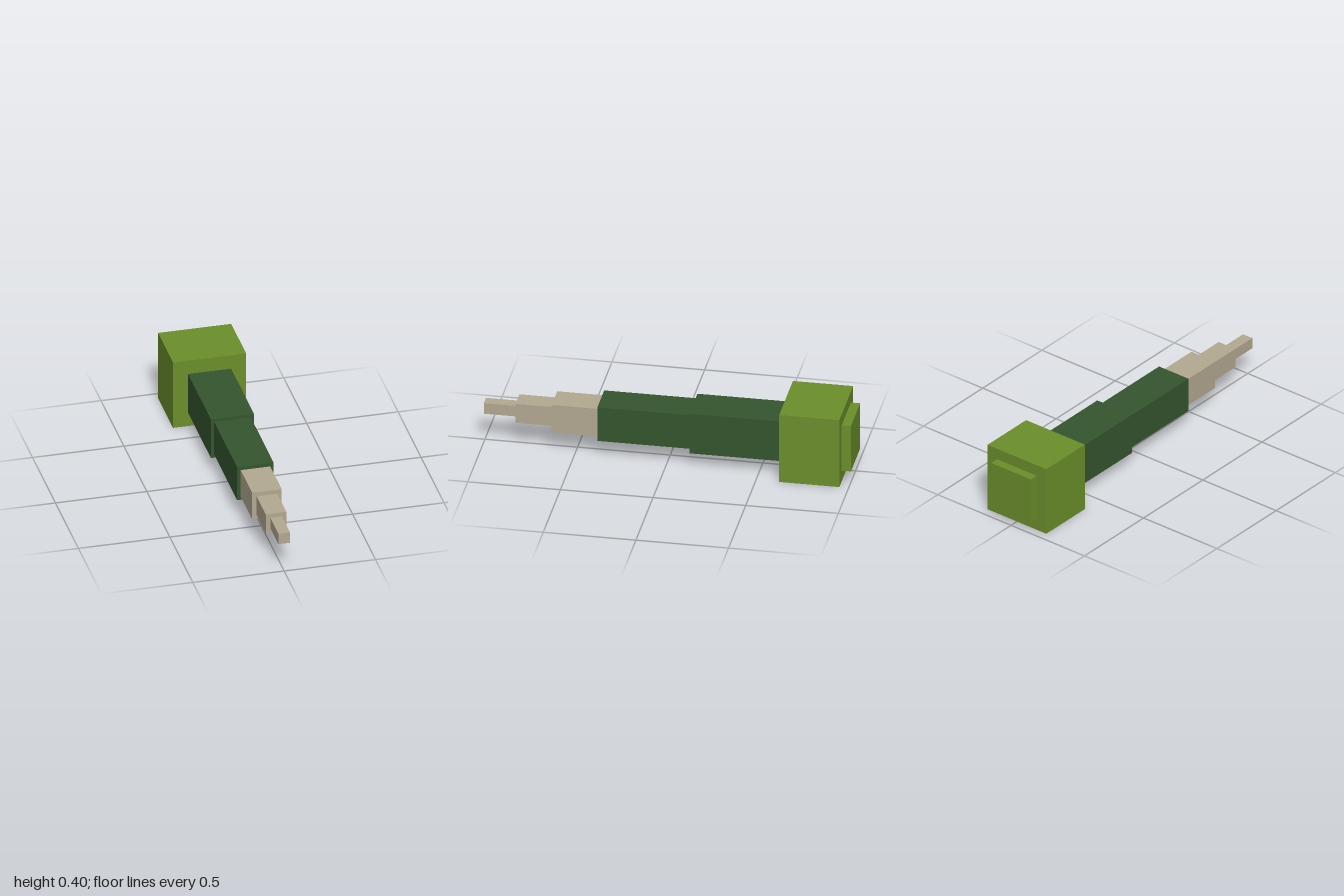
import * as THREE from 'three';

export function createModel() {
  const group = new THREE.Group();
  const material = (name, color) => {
    const m = new THREE.MeshStandardMaterial({ color });
    m.name = name;
    return m;
  };
  const olive = material('olive green', 0x6b8f2b);
  const dark = material('dark green', 0x34552d);
  const tan = material('tan', 0xb3a991);

  // Square sections along z, from back to front: name, width, back z, front z, material
  const sections = [
    ['backPlate', 0.27, -1, -0.95, olive],
    ['rearBlock', 0.4, -0.95, -0.625, olive],
    ['rearSleeve', 0.236, -0.625, -0.125, dark],
    ['frontSleeve', 0.2, -0.125, 0.375, dark],
    ['tipBase', 0.162, 0.375, 0.625, tan],
    ['tipMiddle', 0.113, 0.625, 0.825, tan],
    ['tipEnd', 0.063, 0.825, 1, tan],
  ];
  for (const [name, width, back, front, mat] of sections) {
    const mesh = new THREE.Mesh(new THREE.BoxGeometry(width, width, front - back), mat);
    mesh.name = name;
    mesh.position.set(0, 0.2, (back + front) / 2);
    group.add(mesh);
  }
  return group;
}
